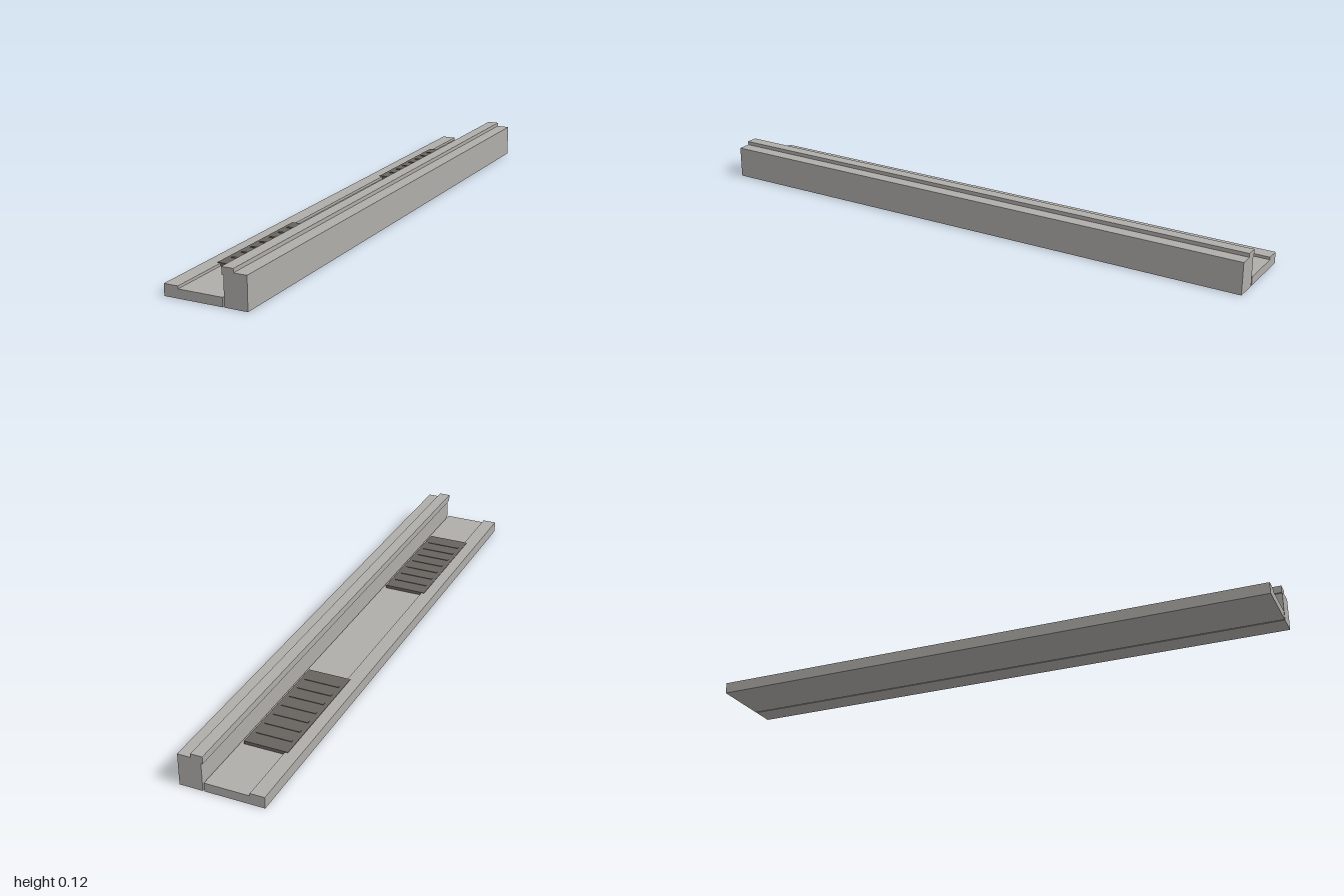
import * as THREE from 'three';

const LENGTH = 2;

// Extrude an x-y profile along z, centred on z = 0
function strip(name, points, material) {
  const shape = new THREE.Shape(points.map(([x, y]) => new THREE.Vector2(x, y)));
  const geometry = new THREE.ExtrudeGeometry(shape, { depth: LENGTH, bevelEnabled: false });
  geometry.translate(0, 0, -LENGTH / 2);
  const mesh = new THREE.Mesh(geometry, material);
  mesh.name = name;
  return mesh;
}

// Box given by its limits on each axis
function box(name, [x0, x1], [y0, y1], [z0, z1], material) {
  const mesh = new THREE.Mesh(new THREE.BoxGeometry(x1 - x0, y1 - y0, z1 - z0), material);
  mesh.position.set((x0 + x1) / 2, (y0 + y1) / 2, (z0 + z1) / 2);
  mesh.name = name;
  return mesh;
}

export function createModel() {
  const concrete = new THREE.MeshStandardMaterial({ color: 0xb0aeaa });
  concrete.name = 'concrete';
  const iron = new THREE.MeshStandardMaterial({ color: 0x67635f });
  iron.name = 'grate iron';

  const model = new THREE.Group();
  model.name = 'kerbWithGutter';

  // Gutter slab with a raised outer lip
  model.add(strip('gutter', [
    [-0.143, 0], [0.058, 0], [0.058, 0.03], [-0.094, 0.03], [-0.094, 0.039], [-0.143, 0.039],
  ], concrete));

  // Kerb with an overhanging nosing along its top
  model.add(strip('kerb', [
    [0.063, 0], [0.142, 0], [0.142, 0.11], [0.097, 0.11], [0.097, 0.123],
    [0.057, 0.123], [0.057, 0.098], [0.063, 0.098],
  ], concrete));

  // Drain grates: a plate with thin raised cross bars
  for (const z of [-0.55, 0.55]) {
    const grate = new THREE.Group();
    grate.name = z > 0 ? 'frontGrate' : 'backGrate';
    grate.add(box('gratePlate', [-0.104, 0.046], [0.029, 0.041], [-0.226, 0.226], iron));
    for (let i = -3; i <= 3; i++) {
      const c = i * 0.056;
      grate.add(box('grateBar', [-0.09, 0.032], [0.04, 0.043], [c - 0.005, c + 0.005], iron));
    }
    grate.position.z = z;
    model.add(grate);
  }
  return model;
}
